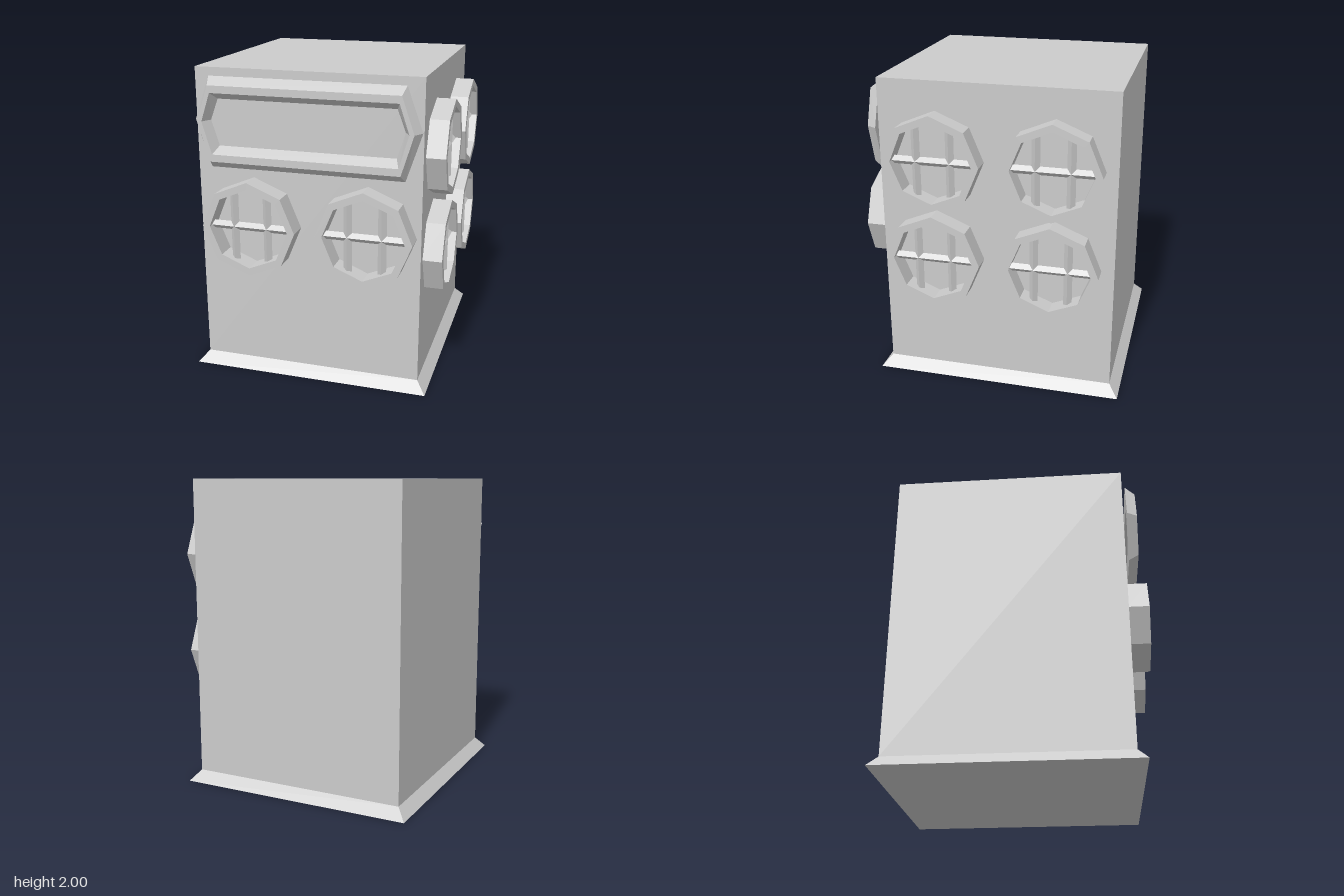
import * as THREE from 'three';

const material = new THREE.MeshStandardMaterial({ color: 0xcccccc, flatShading: true });

function addMesh(parent, name, geometry) {
  const mesh = new THREE.Mesh(geometry, material);
  mesh.name = name;
  parent.add(mesh);
  return mesh;
}

// Regular octagon with corners on the axes
function octagon(radius) {
  return Array.from({ length: 8 }, (_, i) => {
    const a = (i * Math.PI) / 4;
    return new THREE.Vector2(radius * Math.cos(a), radius * Math.sin(a));
  });
}

// Joins equal-length rings of points, each counter-clockwise seen from +z
function loft(rings) {
  const n = rings[0].length;
  const index = [];
  rings.forEach((_, r) => {
    const next = (r + 1) % rings.length;
    for (let i = 0; i < n; i++) {
      const j = (i + 1) % n;
      const a = r * n + i, b = r * n + j, c = next * n + j, d = next * n + i;
      index.push(a, b, c, a, c, d);
    }
  });
  const geometry = new THREE.BufferGeometry();
  geometry.setAttribute('position', new THREE.Float32BufferAttribute(rings.flat(2), 3));
  geometry.setIndex(index);
  const flat = geometry.toNonIndexed();
  flat.computeVertexNormals();
  return flat;
}

// Octagonal porthole facing +z, its back at z = 0
function makeWindow(name) {
  const group = new THREE.Group();
  group.name = name;
  const shape = new THREE.Shape(octagon(0.304));
  shape.holes.push(new THREE.Path(octagon(0.257).reverse()));
  addMesh(group, 'windowFrame', new THREE.ExtrudeGeometry(shape, { depth: 0.135, bevelEnabled: false }));

  // Diamond-section glazing bars
  const bar = (barName, length) =>
    addMesh(group, barName, new THREE.CylinderGeometry(0.027, 0.027, length, 4));
  const cross = bar('horizontalBar', 0.53);
  cross.rotation.z = Math.PI / 2;
  cross.position.z = 0.075;
  for (const x of [-0.108, 0.108]) bar('verticalBar', 0.45).position.set(x, 0, 0.075);
  return group;
}

// Elongated hexagon: half width at the points, half width at the corners, half height
function hexRing(point, corner, height, z) {
  return [
    [point, 0.013, z], [corner, height, z], [-corner, height, z],
    [-point, 0.013, z], [-corner, -height, z], [corner, -height, z],
  ];
}

export function createModel() {
  const model = new THREE.Group();
  model.name = 'building';
  const cx = -0.033, cz = -0.035;

  // Main block
  const body = addMesh(model, 'body', new THREE.BoxGeometry(1.435, 1.93, 1.49));
  body.position.set(cx, 1.035, cz);

  // Sloping skirt: a box narrowed at the top
  const skirtGeometry = new THREE.BoxGeometry(1.555, 0.07, 1.61);
  const p = skirtGeometry.attributes.position;
  for (let i = 0; i < p.count; i++) {
    if (p.getY(i) > 0) {
      p.setX(i, Math.sign(p.getX(i)) * 0.7175);
      p.setZ(i, Math.sign(p.getZ(i)) * 0.745);
    }
  }
  skirtGeometry.computeVertexNormals();
  addMesh(model, 'baseSkirt', skirtGeometry).position.set(cx, 0.035, cz);

  // Bevelled hexagonal sign frame, standing just clear of the front wall
  const sign = addMesh(model, 'signFrame', loft([
    hexRing(0.715, 0.617, 0.285, 0.735),
    hexRing(0.677, 0.6, 0.237, 0.8),
    hexRing(0.647, 0.587, 0.191, 0.8),
    hexRing(0.612, 0.562, 0.147, 0.735),
  ]));
  sign.position.set(cx, 1.666, 0);

  // Two portholes in the front wall
  for (const x of [-0.383, 0.353]) {
    const front = makeWindow('frontWindow');
    front.position.set(x, 1.02, 0.707);
    model.add(front);
  }

  // Four portholes in the left wall
  for (const [y, z] of [[1.512, 0.345], [1.512, -0.402], [0.867, 0.352], [0.867, -0.395]]) {
    const side = makeWindow('sideWindow');
    side.rotation.y = Math.PI / 2;
    side.position.set(0.67, y, z);
    model.add(side);
  }
  return model;
}
